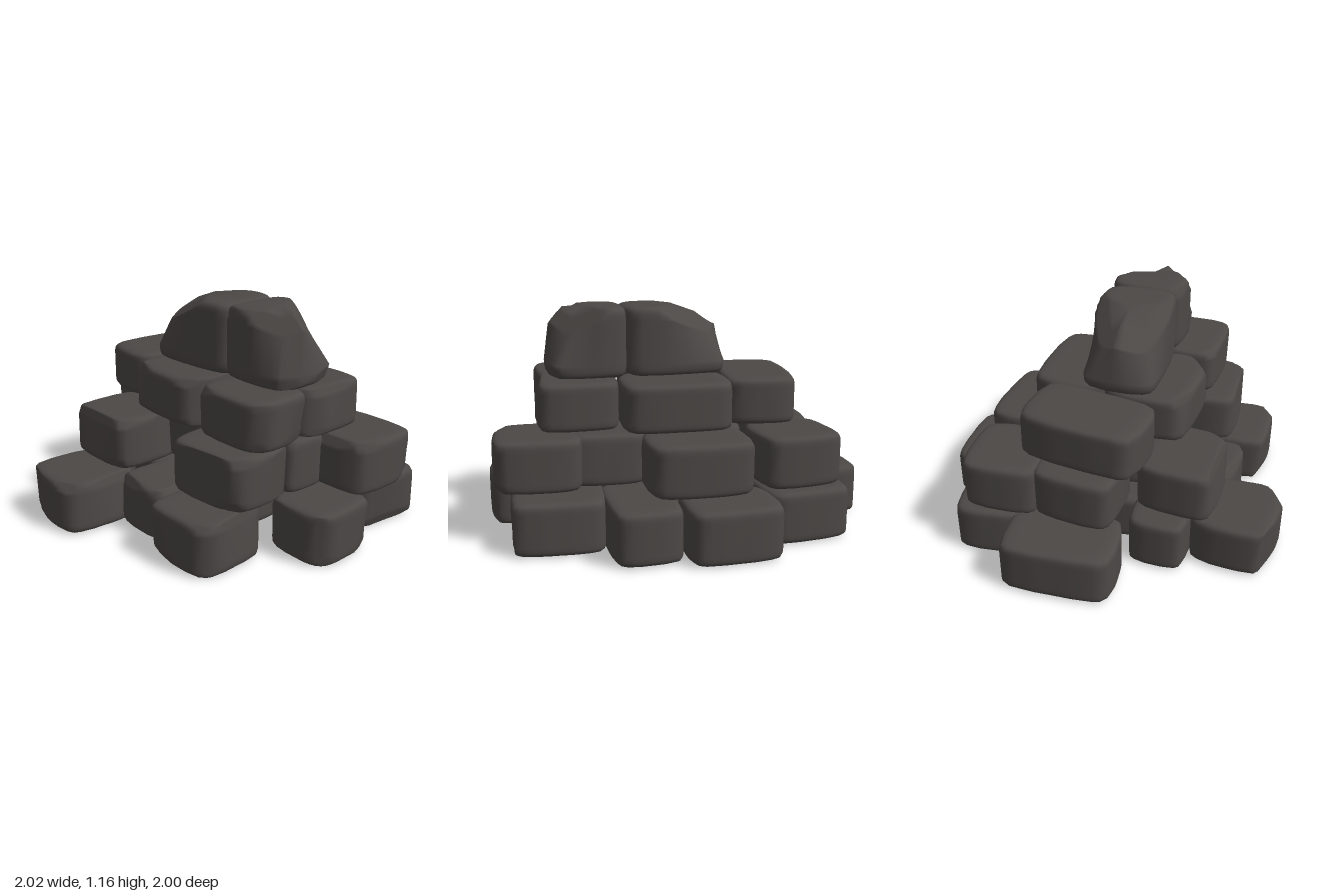
import * as THREE from 'three';

const SIDES = 40, RINGS = 22;

// Small seeded generator
function seeded(seed) {
  let s = seed * 7919 + 13;
  return () => (s = (s * 16807) % 2147483647) / 2147483647;
}

// Cuts the corners off a closed outline
function cutCorners(pts, r) {
  return pts.flatMap((p, i) => {
    const prev = pts[(i + pts.length - 1) % pts.length], next = pts[(i + 1) % pts.length];
    return [p.clone().lerp(prev, r), p.clone().lerp(next, r)];
  });
}

// Footprint: a turned rectangle with softened corners, evenly divided
function footprint(halfLength, halfWidth, degrees) {
  const a = halfLength * 1.08, b = halfWidth * 1.08;
  let pts = [[-a, -b], [a, -b], [a, b], [-a, b]].map(([u, v]) =>
    new THREE.Vector2(u, v).rotateAround(new THREE.Vector2(), THREE.MathUtils.degToRad(degrees)));
  pts = cutCorners(cutCorners(pts, 0.13), 0.27);
  pts.push(pts[0].clone());
  return new THREE.Shape(pts).getSpacedPoints(SIDES).slice(0, SIDES);
}

// Pushes every vertex lying beyond the plane n.p = d back onto it
function chisel(verts, n, d) {
  for (const v of verts) {
    const over = v.dot(n) - d;
    if (over > 0) v.addScaledVector(n, -over);
  }
}

// A rounded block between two heights, with chipped faces towards the front
function stoneGeometry([x, z, halfLength, halfWidth, degrees = 45], y0, y1, seed, planes) {
  const rand = seeded(seed);
  const outline = footprint(halfLength, halfWidth, degrees);
  const centre = new THREE.Vector3(x, (y0 + y1) / 2, z);
  const halfHeight = (y1 - y0) / 2, phase = rand() * 6;

  // Rings follow a squared-off ellipse from the underside to the top
  const verts = [];
  for (let r = 0; r < RINGS; r++) {
    const phi = Math.PI * ((r + 0.5) / RINGS - 0.5);
    const scale = Math.cos(phi) ** 0.2;
    const y = centre.y + halfHeight * Math.sign(phi) * Math.abs(Math.sin(phi)) ** 0.2;
    outline.forEach((p, j) => {
      const k = scale * (1 + 0.012 * Math.sin((6 * Math.PI * j) / SIDES + phase + phi));
      verts.push(new THREE.Vector3(x + p.x * k, y, z + p.y * k));
    });
  }
  verts.push(new THREE.Vector3(x, y0, z), new THREE.Vector3(x, y1, z));

  const chips = z > 0.1 ? 4 : 0;
  for (let i = 0; i < chips; i++) {
    const a = Math.PI * (0.1 + 0.8 * ((i + rand()) / chips));
    const n = new THREE.Vector3(Math.cos(a), (rand() - 0.35) * 1.1, Math.sin(a)).normalize();
    const reach = Math.max(...verts.map((v) => v.dot(n))) - centre.dot(n);
    chisel(verts, n, centre.dot(n) + reach * (0.88 + 0.07 * rand()));
  }
  for (const { normal, through } of planes) {
    const n = new THREE.Vector3(...normal).normalize();
    chisel(verts, n, n.dot(new THREE.Vector3(...through)));
  }

  const index = [];
  const last = (RINGS - 1) * SIDES, under = RINGS * SIDES;
  for (let j = 0; j < SIDES; j++) {
    const k = (j + 1) % SIDES;
    for (let r = 0; r < last; r += SIDES) {
      index.push(r + j, r + SIDES + j, r + k, r + k, r + SIDES + j, r + SIDES + k);
    }
    index.push(under, j, k, under + 1, last + k, last + j);
  }
  const geo = new THREE.BufferGeometry().setFromPoints(verts);
  geo.setIndex(index);
  geo.computeVertexNormals();
  return geo;
}

export function createModel() {
  const model = new THREE.Group();
  model.name = 'stonePile';
  const stoneGrey = new THREE.MeshStandardMaterial({ color: 0x4c4846 });
  stoneGrey.name = 'stoneGrey';
  let seed = 1;

  // One level of stones, each [x, z, half length, half width, turn in degrees]
  function addCourse(name, y0, y1, stones, planes = []) {
    const course = new THREE.Group();
    course.name = name;
    for (const stone of stones) {
      const mesh = new THREE.Mesh(stoneGeometry(stone, y0, y1, seed++, planes), stoneGrey);
      mesh.name = 'stone';
      course.add(mesh);
    }
    model.add(course);
  }

  addCourse('baseCourse', 0, 0.275, [
    // Back
    [-0.55, -0.58, 0.18, 0.27, 40], [-0.08, -0.73, 0.21, 0.19, 37], [0.37, -0.58, 0.22, 0.18, 42],
    // Sides
    [0.58, -0.19, 0.16, 0.24, 41], [0.74, 0.2, 0.22, 0.19, 48],
    [-0.74, 0.33, 0.21, 0.2, 48], [-0.6, -0.04, 0.15, 0.14],
    // Front
    [-0.29, 0.42, 0.17, 0.17], [-0.06, 0.75, 0.2, 0.19, 43], [0.5, 0.65, 0.17, 0.18],
    // Core
    [0, 0, 0.42, 0.4],
  ]);

  addCourse('secondCourse', 0.27, 0.545, [
    // Back
    [-0.11, -0.68, 0.2, 0.19, 39], [-0.39, -0.39, 0.18, 0.2, 47], [0.3, -0.35, 0.25, 0.19],
    // Sides
    [-0.53, 0.12, 0.21, 0.19, 47], [0.68, 0.38, 0.21, 0.2, 47], [0.4, 0.16, 0.19, 0.18],
    // Front
    [0.05, 0.61, 0.23, 0.18, 43], [0.35, 0.46, 0.13, 0.13],
    // Core
    [0, 0, 0.32, 0.3],
  ]);

  addCourse('thirdCourse', 0.54, 0.795, [
    [-0.32, -0.33, 0.18, 0.3, 51], [0.16, -0.12, 0.27, 0.2, 46], [-0.15, 0.15, 0.25, 0.22, 46],
    [0.16, 0.55, 0.21, 0.17], [0.43, 0.32, 0.2, 0.19],
  ]);

  // Rear cap stone slopes away to the back and one side
  addCourse('rearCapStone', 0.785, 1.16, [[-0.05, 0.04, 0.26, 0.19, 42]], [
    { normal: [-0.62, 0.78, 0], through: [-0.1, 1.15, 0] },
    { normal: [0, 0.7, -0.71], through: [0, 1.15, -0.02] },
  ]);

  // Front cap stone narrows towards its top
  addCourse('frontCapStone', 0.785, 1.16, [[0.29, 0.365, 0.2, 0.19]], [
    { normal: [0.83, 0.55, 0], through: [0.35, 1.15, 0] },
    { normal: [0, 0.5, 0.87], through: [0, 1.14, 0.48] },
  ]);

  return model;
}
